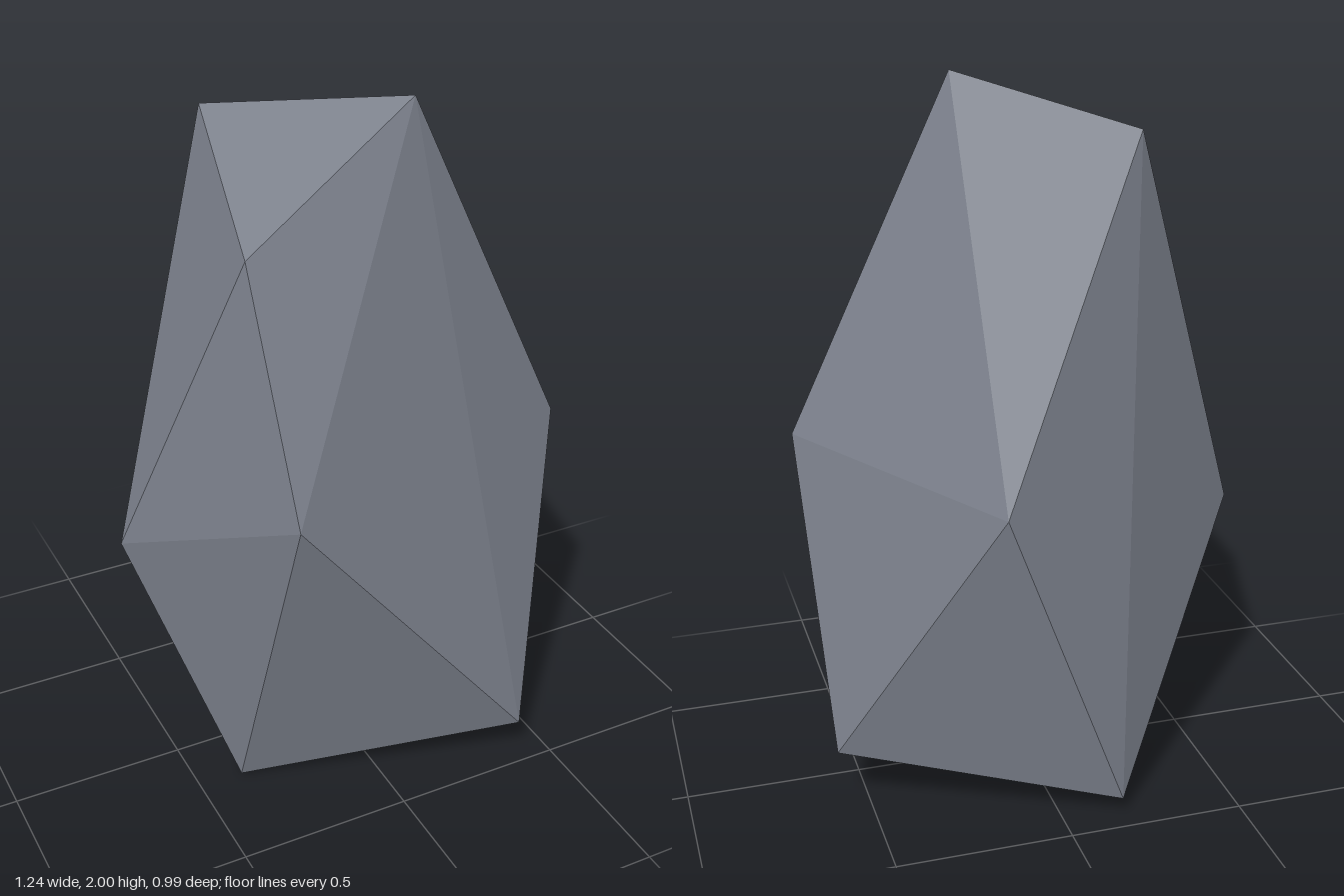
import * as THREE from 'three';

// Corners of the boulder
const corners = {
  peak: [0.14, 2.0, 0.21],
  peakBack: [-0.25, 1.9, -0.25],
  shoulder: [-0.36, 1.68, 0.28],
  waistFront: [-0.32, 1.01, 0.495],
  waistRight: [-0.62, 0.76, -0.03],
  waistLeft: [0.615, 1.0, 0.21],
  waistBack: [0.18, 0.97, -0.495],
  baseFront: [0.395, 0.13, 0.48],
  baseLeft: [0.59, 0.18, -0.18],
  baseBack: [-0.17, 0.05, -0.44],
  baseRight: [-0.37, 0, 0.18],
};

// Facets, each a triangle or a planar quad, counter-clockwise from outside
const facets = [
  // crown
  'peak peakBack shoulder',
  'peak shoulder waistFront',
  'peak waistFront baseFront',
  'peak baseFront waistLeft',
  'peak waistLeft waistBack',
  'peak waistBack peakBack',
  // right and back flanks
  'peakBack waistBack baseBack',
  'peakBack baseBack waistRight',
  'peakBack waistRight shoulder',
  'shoulder waistRight waistFront',
  // lower flanks
  'waistRight baseRight waistFront',
  'waistFront baseRight baseFront',
  'baseFront baseLeft waistLeft',
  'waistLeft baseLeft waistBack',
  'waistBack baseLeft baseBack',
  'waistRight baseBack baseRight',
  // underside
  'baseRight baseBack baseLeft baseFront',
];

function facetedGeometry() {
  const positions = [];
  for (const facet of facets) {
    const points = facet.split(' ').map((name) => corners[name]);
    for (let i = 1; i < points.length - 1; i++) {
      positions.push(...points[0], ...points[i], ...points[i + 1]);
    }
  }
  const geometry = new THREE.BufferGeometry();
  geometry.setAttribute('position', new THREE.Float32BufferAttribute(positions, 3));
  geometry.computeVertexNormals();
  return geometry;
}

export function createModel() {
  const stone = new THREE.MeshStandardMaterial({ color: 0x7a7f8a, flatShading: true });
  stone.name = 'slate grey stone';

  const boulder = new THREE.Mesh(facetedGeometry(), stone);
  boulder.name = 'boulder';

  const model = new THREE.Group();
  model.name = 'rock';
  model.add(boulder);
  return model;
}
